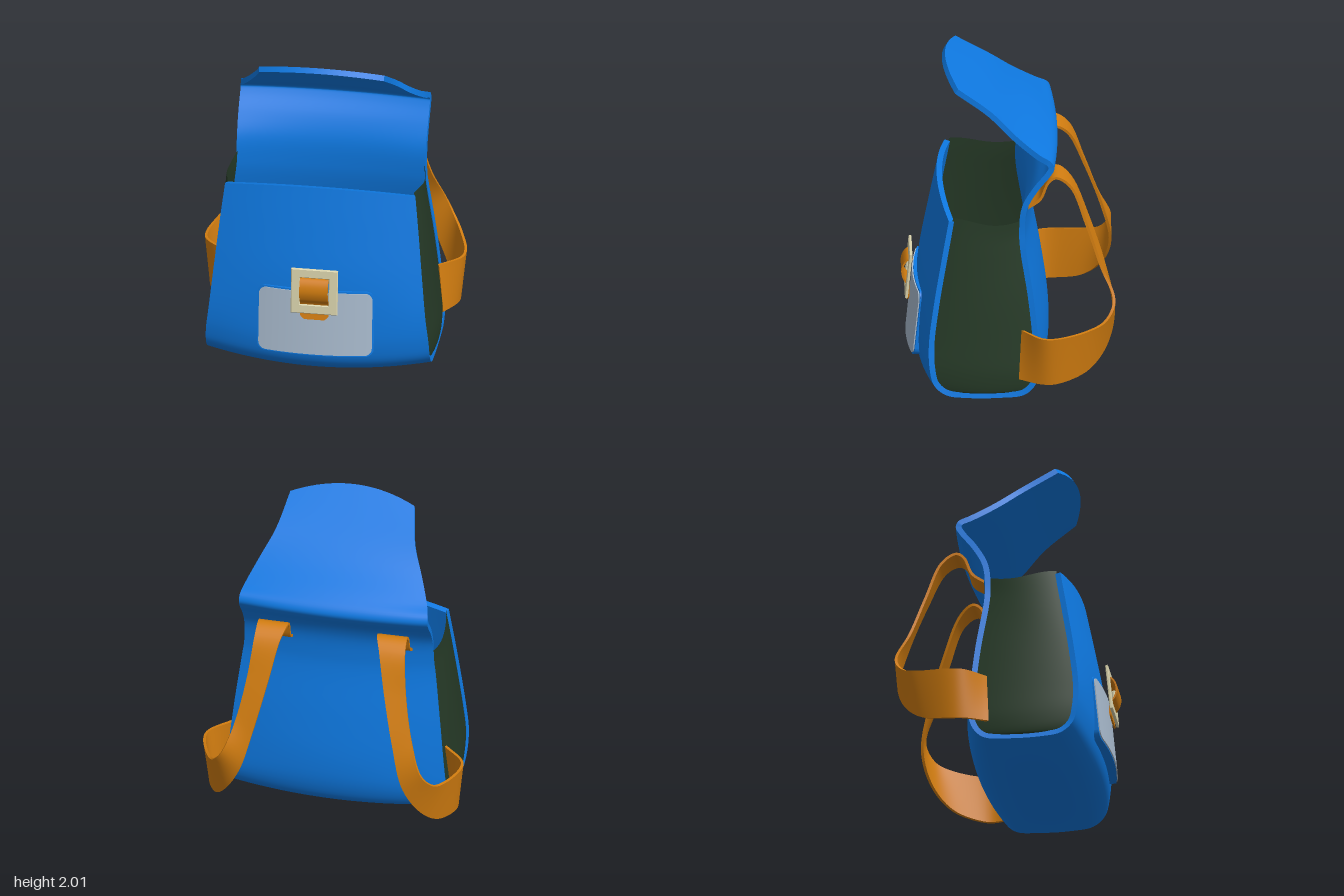
import * as THREE from 'three';
import { mergeGeometries } from 'three/addons/utils/BufferGeometryUtils.js';

const V = (x, y, z) => new THREE.Vector3(x, y, z);
const curve = (pts) => new THREE.CatmullRomCurve3(pts);
const mat = (name, color) => Object.assign(new THREE.MeshStandardMaterial({ color }), { name });

// smooth grid of points; get(i, j) returns a Vector3
function patch(get, nu, nv) {
  const pos = [], idx = [], row = nv + 1;
  for (let i = 0; i <= nu; i++) for (let j = 0; j <= nv; j++) pos.push(...get(i, j).toArray());
  for (let i = 0; i < nu; i++) for (let j = 0; j < nv; j++) {
    const a = i * row + j, b = a + row;
    idx.push(a, b, b + 1, a, b + 1, a + 1);
  }
  const g = new THREE.BufferGeometry();
  g.setAttribute('position', new THREE.Float32BufferAttribute(pos, 3));
  g.setIndex(idx);
  g.computeVertexNormals();
  return g;
}

// surface f(u, v) given a thickness t behind its front, with crisp rims
function solid(f, nu, nv, t) {
  const P = [], Q = [];
  for (let i = 0; i <= nu; i++) {
    P.push([]);
    for (let j = 0; j <= nv; j++) P[i].push(f(i / nu, j / nv));
  }
  for (let i = 0; i <= nu; i++) {
    Q.push([]);
    for (let j = 0; j <= nv; j++) {
      const du = P[Math.min(i + 1, nu)][j].clone().sub(P[Math.max(i - 1, 0)][j]);
      const dv = P[i][Math.min(j + 1, nv)].clone().sub(P[i][Math.max(j - 1, 0)]);
      Q[i].push(P[i][j].clone().addScaledVector(du.cross(dv).normalize(), -t));
    }
  }
  return mergeGeometries([
    patch((i, j) => P[i][j], nu, nv),
    patch((i, j) => Q[nu - i][j], nu, nv),
    patch((i, j) => (i ? P : Q)[0][j], 1, nv),
    patch((i, j) => (i ? Q : P)[nu][j], 1, nv),
    patch((i, j) => (j ? P : Q)[i][0], nu, 1),
    patch((i, j) => (j ? Q : P)[i][nv], nu, 1),
  ]);
}

export function createModel() {
  const group = new THREE.Group();
  const blue = mat('blue fabric', 0x0e79e2);
  const green = mat('dark green fabric', 0x263a27);
  const orange = mat('orange strap', 0xd27d10);
  const grey = mat('pale grey panel', 0xaabccf);
  const cream = mat('cream buckle', 0xdcd5ae);
  green.side = THREE.DoubleSide;
  const add = (name, geometry, material) => {
    const m = new THREE.Mesh(geometry, material);
    m.name = name;
    group.add(m);
    return m;
  };

  // one sheet: flap, back, bottom and front
  // each row: centre z, y; edge z, y; half width
  const rows = [
    [.37, 2, .3, 1.945, .375], [.12, 1.83, .1, 1.81, .42], [-.06, 1.7, -.04, 1.69, .49],
    [-.22, 1.6, -.18, 1.59, .55], [-.28, 1.55, -.25, 1.55, .568], [-.295, 1.51, -.265, 1.51, .57],
    [-.27, 1.46, -.24, 1.46, .57], [-.2, 1.37, -.17, 1.37, .57], [-.15, 1.25, -.105, 1.25, .57],
    [-.14, 1.1, -.09, 1.1, .573], [-.147, 1, -.095, 1, .585], [-.2, .7, -.14, .7, .62],
    [-.24, .4, -.17, .4, .65], [-.235, .22, -.175, .22, .667], [-.19, .1, -.14, .13, .67],
    [-.1, .03, -.08, .08, .67], [.05, 0, .05, .065, .67], [.3, 0, .25, .065, .67],
    [.44, .03, .38, .085, .67], [.52, .1, .45, .15, .67], [.55, .22, .475, .25, .667],
    [.55, .4, .48, .4, .65], [.53, .65, .45, .65, .625], [.475, .95, .4, .95, .595],
    [.42, 1.22, .36, 1.175, .57],
  ];
  const centre = curve(rows.map((r) => V(r[4], r[1], r[0])));
  const edge = curve(rows.map((r) => V(r[4], r[3], r[2])));
  add('bodyAndFlap', solid((u, v) => {
    const k = u * 2 - 1;
    const p = centre.getPoint(v).lerp(edge.getPoint(v), k * k);
    p.x *= k;
    return p;
  }, 20, 120, .034), blue);

  // side gussets stretched between the back and front edges
  const inset = (index) => {
    const p = edge.getPoint(index / 24), t = edge.getTangent(index / 24);
    return p.add(V(0, t.z, -t.y).normalize().multiplyScalar(.026)).add(V(-.012, 0, 0));
  };
  for (const side of [1, -1]) {
    const g = patch((i, j) => {
      const v = i / 40, s = j / 14, belly = 4 * s * (1 - s);
      const p = inset(8.55 + 7.95 * v).lerp(inset(24 - 7.5 * v), s);
      p.x = side * (p.x + .028 * belly * (1 - v ** 4));
      p.y -= .02 * Math.sin(s * Math.PI * 1.5) * (1 - v) ** 3;
      return p;
    }, 40, 14);
    add(side > 0 ? 'leftGusset' : 'rightGusset', g, green);
  }

  // front pocket: rounded slab bent around the body, with a thin face
  const panel = (hw, hh, r, lift, t) => solid((u, v) => {
    const x = hw * Math.sin((u - .5) * Math.PI);
    const d = Math.max(0, Math.abs(x) - hw + r);
    const h = hh - r + Math.sqrt(Math.max(0, r * r - d * d));
    const y = .395 + h * (v * 2 - 1);
    return V(x, y, .597 + lift - .1 * (y - .2) - .3 * x * x);
  }, 32, 6, t);
  add('pocket', panel(.35, .207, .05, 0, .06), blue);
  add('pocketFace', panel(.34, .198, .045, .007, .008), grey);

  // square buckle frame
  const rect = (path, hw, hh) => path.moveTo(-hw, -hh).lineTo(hw, -hh).lineTo(hw, hh).lineTo(-hw, hh).closePath();
  const frame = rect(new THREE.Shape(), .135, .137);
  frame.holes.push(rect(new THREE.Path(), .09, .09));
  const buckle = add('buckle', new THREE.ExtrudeGeometry(frame, {
    depth: .01, bevelEnabled: true, bevelThickness: .004, bevelSize: .005, bevelSegments: 1,
  }), cream);
  buckle.position.set(0, .613, .583);
  buckle.rotation.x = -.1;

  // tongue looping through the buckle
  const tongue = curve([V(0, .43, .6), V(0, .48, .591), V(0, .535, .598), V(0, .57, .62),
    V(0, .62, .631), V(0, .67, .619), V(0, .7, .592), V(0, .695, .565)]);
  add('buckleTongue', solid((u, v) => {
    const p = tongue.getPoint(v);
    p.x = (u * 2 - 1) * (.085 - .025 * Math.max(0, 1 - v / .06));
    return p;
  }, 6, 40, .01), orange);

  // shoulder straps: paired points along the inner/lower and outer/upper borders
  const inner = curve([V(.27, 1.19, -.115), V(.27, 1.25, -.2), V(.27, 1.36, -.24), V(.27, 1.385, -.285),
    V(.3, 1.33, -.36), V(.35, 1.1, -.46), V(.42, .8, -.56), V(.49, .55, -.61), V(.58, .36, -.56),
    V(.66, .24, -.45), V(.73, .19, -.28), V(.73, .185, -.2), V(.66, .185, -.06)]);
  const outer = curve([V(.45, 1.19, -.11), V(.45, 1.25, -.19), V(.45, 1.36, -.24), V(.45, 1.385, -.28),
    V(.455, 1.33, -.36), V(.48, 1.1, -.45), V(.53, .85, -.535), V(.6, .66, -.61), V(.66, .56, -.56),
    V(.71, .52, -.46), V(.765, .495, -.28), V(.755, .49, -.2), V(.635, .49, -.08)]);
  for (const side of [1, -1]) {
    const g = solid((u, v) => {
      const k = side > 0 ? 1 - u : u;
      const p = inner.getPoint(v).lerp(outer.getPoint(v), k);
      p.x *= side;
      return p;
    }, 6, 90, .016);
    add(side > 0 ? 'leftStrap' : 'rightStrap', g, orange);
  }

  return group;
}
